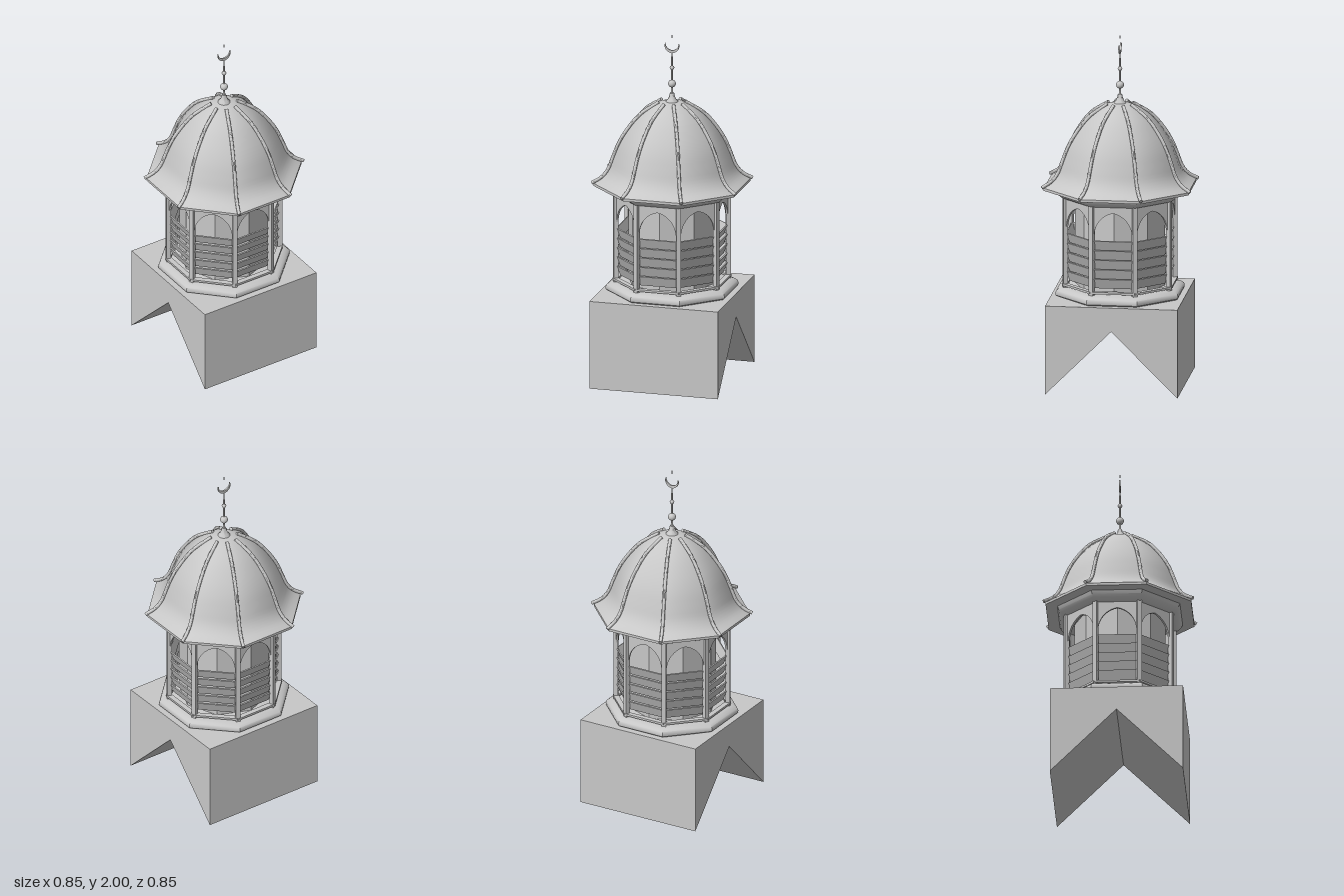
import * as THREE from 'three';
import { toCreasedNormals } from 'three/addons/utils/BufferGeometryUtils.js';

const stone = new THREE.MeshStandardMaterial({ color: 0xc8c8c8 });
stone.name = 'light grey';
const STEP = Math.PI / 4;
const HALF = Math.PI / 8;

function add(parent, name, geometry, x = 0, y = 0, z = 0) {
  const mesh = new THREE.Mesh(geometry, stone);
  mesh.name = name;
  mesh.position.set(x, y, z);
  parent.add(mesh);
  return mesh;
}

// Eight-sided lathe from [apothem, y] points, flat sides facing the axes
function octagon(profile, smooth = false) {
  const points = profile.map(([a, y]) => new THREE.Vector2(a / Math.cos(HALF), y));
  const geometry = new THREE.LatheGeometry(points, 8, HALF);
  return smooth ? geometry : toCreasedNormals(geometry, 0.7);
}

function extrude(shape, depth) {
  return new THREE.ExtrudeGeometry(shape, { depth, bevelEnabled: false, curveSegments: 16 })
    .translate(0, 0, -depth / 2);
}

// Spandrel panel with a slightly pointed arch cut from its lower edge
function archGeometry() {
  const s = new THREE.Shape();
  s.moveTo(-0.118, 1.08);
  s.lineTo(-0.118, 0.915);
  s.lineTo(-0.107, 0.915);
  s.bezierCurveTo(-0.1, 0.99, -0.05, 1.03, 0, 1.04);
  s.bezierCurveTo(0.05, 1.03, 0.1, 0.99, 0.107, 0.915);
  s.lineTo(0.118, 0.915);
  s.lineTo(0.118, 1.08);
  return extrude(s, 0.012);
}

export function createModel() {
  const model = new THREE.Group();
  model.name = 'cupola';

  // Square base notched to sit over a roof ridge
  const notch = new THREE.Shape([
    [-0.375, 0], [0, 0.375], [0.375, 0], [0.375, 0.512], [-0.375, 0.512],
  ].map(([x, y]) => new THREE.Vector2(x, y)));
  add(model, 'saddleBase', extrude(notch, 0.75).rotateY(Math.PI / 2));

  // Rounded plinth moulding
  add(model, 'plinth', octagon([
    [0, 0.511], [0.335, 0.511], [0.346, 0.52], [0.348, 0.533],
    [0.343, 0.547], [0.33, 0.557], [0.312, 0.563], [0, 0.563],
  ]));

  // Inner core, turned half a side from the outer walls
  add(model, 'core', toCreasedNormals(new THREE.CylinderGeometry(0.255, 0.255, 0.52, 8), 0.7), 0, 0.822, 0);

  // Lantern walls: one bay and one post for each side
  const arch = archGeometry();
  const slat = new THREE.BoxGeometry(0.222, 0.061, 0.007);
  const rail = new THREE.BoxGeometry(0.25, 0.012, 0.03);
  const post = new THREE.BoxGeometry(0.026, 0.52, 0.026);
  for (let i = 0; i < 8; i++) {
    const bay = new THREE.Group();
    bay.name = 'bay';
    bay.rotation.y = i * STEP;
    model.add(bay);
    add(bay, 'arch', arch, 0, 0, 0.291);
    add(bay, 'bottomRail', rail, 0, 0.579, 0.296);
    for (let j = 0; j < 5; j++) {
      add(bay, 'louvreSlat', slat, 0, 0.629 + j * 0.055, 0.279).rotation.x = 0.38;
    }
    const angle = i * STEP + HALF;
    add(model, 'post', post, 0.318 * Math.sin(angle), 0.822, 0.318 * Math.cos(angle)).rotation.y = angle;
  }

  // Cove cornice and eave
  add(model, 'cornice', octagon([
    [0, 1.076], [0.305, 1.076], [0.315, 1.083], [0.327, 1.094],
    [0.337, 1.108], [0.345, 1.128],
  ]));
  add(model, 'eave', octagon([[0.33, 1.128], [0.41, 1.128], [0.41, 1.143]]));

  // Bell-shaped roof
  const bell = new THREE.SplineCurve([
    [0.41, 1.143], [0.365, 1.173], [0.331, 1.22], [0.306, 1.29], [0.275, 1.37],
    [0.23, 1.45], [0.165, 1.533], [0.085, 1.595], [0.02, 1.612],
  ].map(([a, y]) => new THREE.Vector2(a, y)));
  add(model, 'roof', octagon(bell.getPoints(28).map((p) => [p.x, p.y]), true));

  // Round ribs along the roof corners
  const ribPath = new THREE.CatmullRomCurve3([
    [0.455, 1.146], [0.398, 1.179], [0.362, 1.224], [0.335, 1.293], [0.302, 1.374],
    [0.253, 1.455], [0.182, 1.538], [0.074, 1.608],
  ].map(([r, y]) => new THREE.Vector3(r, y, 0)));
  const ribSection = new THREE.Shape().absarc(0, 0, 0.01, 0, Math.PI * 2);
  const rib = toCreasedNormals(new THREE.ExtrudeGeometry(ribSection, {
    steps: 28, curveSegments: 5, extrudePath: ribPath, bevelEnabled: false,
  }), 0.9);
  for (let i = 0; i < 8; i++) add(model, 'roofRib', rib).rotation.y = i * STEP + HALF;

  // Finial: flared cap, rod and two balls
  const cap = [[0.037, 1.6], [0.034, 1.613], [0.022, 1.625], [0.015, 1.645], [0.012, 1.66], [0, 1.66]];
  add(model, 'finialCap', toCreasedNormals(
    new THREE.LatheGeometry(cap.map(([r, y]) => new THREE.Vector2(r, y)), 20), 0.9));
  add(model, 'finialRod', new THREE.CylinderGeometry(0.004, 0.006, 0.245, 10), 0, 1.778, 0);
  add(model, 'lowerBall', new THREE.SphereGeometry(0.022, 20, 14), 0, 1.714, 0);
  add(model, 'upperBall', new THREE.SphereGeometry(0.013, 16, 12), 0, 1.807, 0);

  // Upturned crescent and the small tip above it
  const moon = new THREE.Shape();
  moon.absarc(0, 1.936, 0.042, Math.PI - 0.34, Math.PI * 2 + 0.34, false);
  moon.absarc(0, 1.9495, 0.0395, 0, Math.PI, true);
  add(model, 'crescent', extrude(moon, 0.009));
  add(model, 'tip', new THREE.CylinderGeometry(0.002, 0.003, 0.018, 8), 0, 1.991, 0);

  return model;
}
